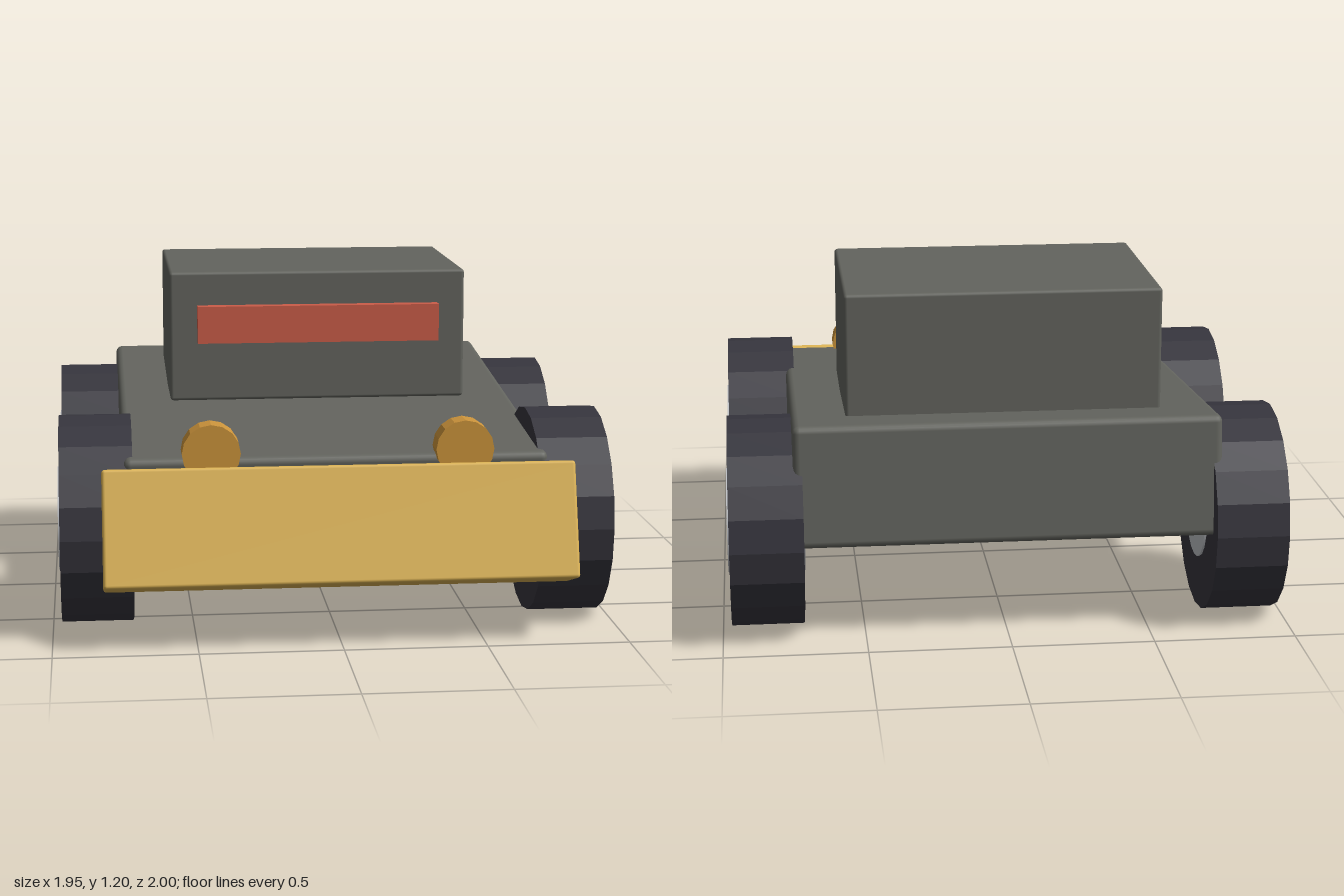
import * as THREE from 'three';
import { RoundedBoxGeometry } from 'three/addons/geometries/RoundedBoxGeometry.js';

export function createModel() {
  const model = new THREE.Group();
  model.name = 'buggy';

  const mat = (name, color, flatShading = false) => {
    const m = new THREE.MeshStandardMaterial({ color, flatShading });
    m.name = name;
    return m;
  };
  const bodyGrey = mat('body grey', 0x63645e);
  const tyreBlack = mat('tyre black', 0x36353d, true);
  const hubSilver = mat('hub silver', 0xbbbec3);
  const bumperYellow = mat('bumper yellow', 0xdcb354);
  const lampOrange = mat('lamp orange', 0xcc943b, true);
  const visorRed = mat('visor red', 0xcb5c48);

  const add = (name, geometry, material, x, y, z, tilt = 0) => {
    const mesh = new THREE.Mesh(geometry, material);
    mesh.name = name;
    mesh.position.set(x, y, z);
    mesh.rotation.x = THREE.MathUtils.degToRad(tilt);
    model.add(mesh);
    return mesh;
  };

  // Hull slopes down to the front; the cabin sits level on it
  add('hull', new RoundedBoxGeometry(1.49, 0.43, 1.68, 2, 0.025), bodyGrey, 0, 0.496, -0.071, 5);
  add('cabin', new RoundedBoxGeometry(1.11, 0.485, 0.785, 2, 0.012), bodyGrey, 0, 0.957, -0.322);
  add('visor', new THREE.BoxGeometry(0.905, 0.138, 0.09), visorRed, 0, 1.006, 0.073);

  // Leaning front bumper
  add('bumper', new RoundedBoxGeometry(1.645, 0.41, 0.2, 2, 0.012), bumperYellow, 0, 0.4, 0.842, -18);

  // Headlamps, wheels and hubs, mirrored left and right
  const lampGeo = new THREE.CylinderGeometry(0.102, 0.102, 0.092, 16).rotateX(Math.PI / 2);
  const tyreGeo = new THREE.CylinderGeometry(0.372, 0.372, 0.255, 20).rotateZ(Math.PI / 2);
  const hubGeo = new THREE.CylinderGeometry(0.185, 0.185, 0.27, 20).rotateZ(Math.PI / 2);
  for (const [side, s] of [['left', 1], ['right', -1]]) {
    add(`${side} headlamp`, lampGeo, lampOrange, s * 0.443, 0.66, 0.772);
    for (const [end, z] of [['front', 0.492], ['rear', -0.628]]) {
      add(`${side} ${end} tyre`, tyreGeo, tyreBlack, s * 0.841, 0.372, z);
      add(`${side} ${end} hub`, hubGeo, hubSilver, s * 0.841, 0.372, z);
    }
  }
  return model;
}
